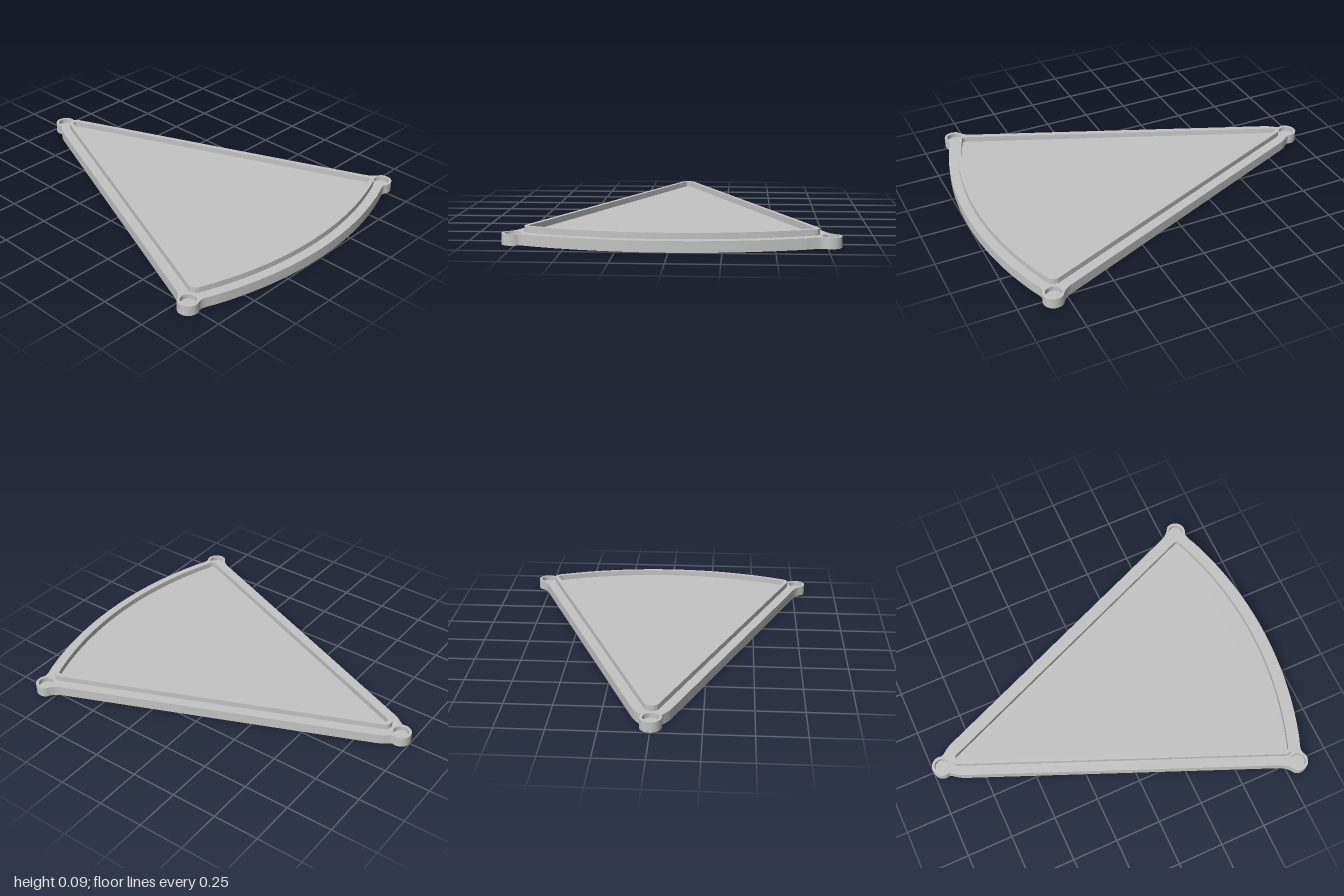
import * as THREE from 'three';
import { toCreasedNormals } from 'three/addons/utils/BufferGeometryUtils.js';

const HALF = Math.PI / 8;      // half of the 45 degree sector
const APEX = -0.95;            // x of the sector's centre
const DEG = Math.PI / 180;
const BASE_TOP = 0.055, RIM_TOP = 0.085, HOLE_FLOOR = 0.03;
const BOSSES = [[-0.945, 0], [0.82, 0.765], [0.82, -0.765]];

// Sector outline moved inward by inset, with corners of radius r
function sector(path, inset, r) {
  const R = 1.899 - inset;
  const tip = APEX + (inset + r) / Math.sin(HALF);
  const a = HALF - Math.asin((inset + r) / (R - r));
  const cx = APEX + (R - r) * Math.cos(a), cy = (R - r) * Math.sin(a);
  path.absarc(tip, 0, r, Math.PI / 2 + HALF, Math.PI * 1.5 - HALF, false);
  path.absarc(cx, -cy, r, -Math.PI / 2 - HALF, -a, false);
  path.absarc(APEX, 0, R, -a, a, false);
  path.absarc(cx, cy, r, a, Math.PI / 2 + HALF, false);
  path.closePath();
  return path;
}

// Plate outline with a filleted round boss at each corner
function plateShape() {
  const s = new THREE.Shape();
  const r = 0.055;
  const edge = (x) => 0.451 + Math.tan(HALF) * x;
  const end = Math.asin(0.66 / 1.95);
  const on = (b, deg) => [b[0] + r * Math.cos(deg * DEG), b[1] + r * Math.sin(deg * DEG)];
  const [tip, up, low] = BOSSES;
  s.absarc(...tip, r, 75 * DEG, 285 * DEG, false);
  s.bezierCurveTo(-0.915, -0.049, -0.9, -edge(-0.9), -0.85, -edge(-0.85));
  s.lineTo(0.72, -edge(0.72));
  s.quadraticCurveTo(0.765, -edge(0.765), ...on(low, -130));
  s.absarc(...low, r, -130 * DEG, 30 * DEG, false);
  s.quadraticCurveTo(0.856, -0.72, APEX + 1.95 * Math.cos(end), -0.66);
  s.absarc(APEX, 0, 1.95, -end, end, false);
  s.quadraticCurveTo(0.856, 0.72, ...on(up, -30));
  s.absarc(...up, r, -30 * DEG, 130 * DEG, false);
  s.quadraticCurveTo(0.765, edge(0.765), 0.72, edge(0.72));
  s.lineTo(-0.85, edge(-0.85));
  s.bezierCurveTo(-0.9, edge(-0.9), -0.915, 0.049, ...on(tip, 75));
  return s;
}

export function createModel() {
  const group = new THREE.Group();
  const grey = new THREE.MeshStandardMaterial({ color: 0xc4c4c4 });
  grey.name = 'lightGrey';

  // Extrude an outline upward from y0 to y1
  function slab(name, shape, y0, y1) {
    let geo = new THREE.ExtrudeGeometry(shape, { depth: y1 - y0, bevelEnabled: false, curveSegments: 32 });
    geo.rotateX(-Math.PI / 2);
    geo.translate(0, y0, 0);
    geo = toCreasedNormals(geo, 0.5);
    const mesh = new THREE.Mesh(geo, grey);
    mesh.name = name;
    group.add(mesh);
  }

  // Solid bottom, then the layer holding the blind corner holes
  slab('plateBottom', plateShape(), 0, HOLE_FLOOR);
  const upper = plateShape();
  for (const [x, y] of BOSSES) {
    upper.holes.push(new THREE.Path().absarc(x, y, 0.04, 0, Math.PI * 2, true));
  }
  slab('plateTop', upper, HOLE_FLOOR, BASE_TOP);

  // Raised lip following the sector
  const rim = sector(new THREE.Shape(), 0, 0.04);
  rim.holes.push(sector(new THREE.Path(), 0.023, 0.017));
  slab('raisedRim', rim, BASE_TOP, RIM_TOP);

  return group;
}
